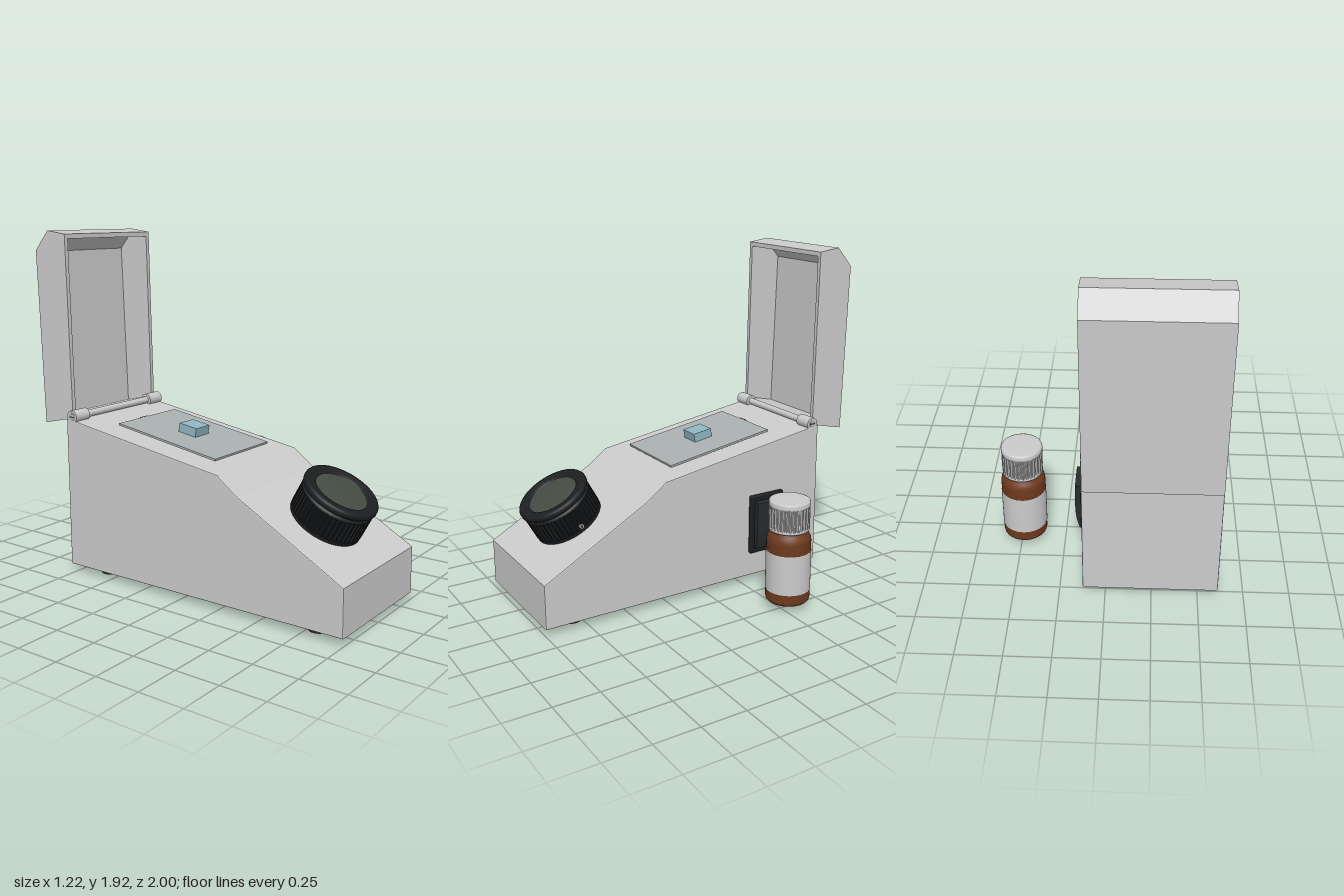
import * as THREE from 'three';
import { RoundedBoxGeometry } from 'three/addons/geometries/RoundedBoxGeometry.js';

const mat = (color, side = THREE.FrontSide) => new THREE.MeshStandardMaterial({ color, side });
const GREY = mat(0xcccccc), BLACK = mat(0x1c1e20), DARK = mat(0x2a2c2e), AMBER = mat(0x6e3a1e);
const LENS = mat(0x434b42), GLASS = mat(0xaab0b0), SAMPLE = mat(0x8fb6c2), METAL = mat(0xb0b0b0);

function add(parent, name, geo, material, x = 0, y = 0, z = 0) {
  const m = new THREE.Mesh(geo, material);
  m.name = name;
  m.position.set(x, y, z);
  parent.add(m);
  return m;
}

// Extrude a [z, y] profile along x, from x0 to x1
function sideProfile(points, x0, x1, bevel = 0) {
  const shape = new THREE.Shape(points.map(([z, y]) => new THREE.Vector2(z, y)));
  const g = new THREE.ExtrudeGeometry(shape, {
    depth: x1 - x0 - 2 * bevel, bevelEnabled: bevel > 0, bevelSize: bevel,
    bevelThickness: bevel, bevelOffset: -bevel, bevelSegments: 2,
  });
  return g.rotateY(-Math.PI / 2).translate(x1 - bevel, 0, 0);
}

// Upright ribbed cylinder standing on y = 0
function ribbed(rOut, rIn, ribs, height) {
  const pts = [];
  for (let i = 0; i < ribs * 4; i++) {
    const a = (i / (ribs * 4)) * Math.PI * 2, r = i % 4 < 2 ? rOut : rIn;
    pts.push(new THREE.Vector2(r * Math.cos(a), r * Math.sin(a)));
  }
  return new THREE.ExtrudeGeometry(new THREE.Shape(pts), { depth: height, bevelEnabled: false })
    .rotateX(-Math.PI / 2);
}

const lathe = (pts, seg = 48) =>
  new THREE.LatheGeometry(pts.map(([r, y]) => new THREE.Vector2(r, y)), seg);
const cyl = (r, h, seg = 32) => new THREE.CylinderGeometry(r, r, h, seg);

function makeCase() {
  const g = new THREE.Group();
  g.name = 'case';
  add(g, 'body', sideProfile([
    [1, 0.04], [1, 0.295], [0.383, 0.637], [0.34, 0.668], [0.26, 0.728], [-0.785, 0.893], [-0.785, 0.04],
  ], -0.61, 0.122, 0.006), GREY);
  for (const x of [-0.495, 0.005])
    for (const z of [0.8, -0.585]) add(g, 'foot', cyl(0.053, 0.05), DARK, x, 0.025, z);
  return g;
}

function makeLid() {
  const g = new THREE.Group();
  g.name = 'lid';
  const outer = [[-0.775, 1.908], [-0.905, 1.925], [-1, 1.815], [-0.968, 0.845], [-0.755, 0.893]];
  const inner = [[-0.7555, 0.918], [-0.944, 0.875], [-0.974, 1.808], [-0.897, 1.897], [-0.7745, 1.882]];
  add(g, 'lidShell', sideProfile([...outer, ...inner], -0.566, 0.081), GREY);
  add(g, 'lidSideRight', sideProfile(outer, -0.59, -0.566), GREY);
  add(g, 'lidSideLeft', sideProfile(outer, 0.081, 0.105), GREY);
  return g;
}

function makeHinge() {
  const g = new THREE.Group();
  g.name = 'hinge';
  g.position.set(-0.245, 0.905, -0.743);
  add(g, 'hingeRod', cyl(0.02, 0.6).rotateZ(Math.PI / 2), GREY);
  for (const s of [-1, 1]) {
    add(g, 'knuckle', cyl(0.036, 0.106).rotateZ(Math.PI / 2), GREY, s * 0.313);
    add(g, 'knuckleBase', new THREE.BoxGeometry(0.1, 0.03, 0.066), GREY, s * 0.313, -0.02, -0.005);
    add(g, 'hingePin', cyl(0.022, 0.004).rotateZ(Math.PI / 2), METAL, s * 0.366);
    add(g, 'pinSlot', new THREE.BoxGeometry(0.003, 0.006, 0.036), DARK, s * 0.368);
  }
  return g;
}

// Glass stage with the sample, parallel to the sloping top
function makeStage() {
  const g = new THREE.Group();
  g.name = 'stage';
  g.position.set(-0.243, 0.818, -0.175);
  g.rotation.x = 0.16;
  add(g, 'stagePlate', new THREE.BoxGeometry(0.485, 0.012, 0.673), GLASS);
  add(g, 'lightWindow', new THREE.BoxGeometry(0.12, 0.018, 0.12), DARK, 0, -0.015, 0);
  add(g, 'stageTab', new THREE.BoxGeometry(0.06, 0.008, 0.012), DARK, -0.025, 0, -0.342);
  add(g, 'sample', new THREE.BoxGeometry(0.118, 0.05, 0.118), SAMPLE, 0, 0.031, 0);
  return g;
}

// Eyepiece standing square to the front slope
function makeEyepiece() {
  const g = new THREE.Group();
  g.name = 'eyepiece';
  g.position.set(-0.245, 0.477, 0.681);
  g.rotation.x = 0.506;
  add(g, 'barrelBase', cyl(0.198, 0.02, 64), BLACK, 0, 0.01, 0);
  add(g, 'barrelGrip', ribbed(0.2, 0.191, 48, 0.135), BLACK, 0, 0.015, 0);
  add(g, 'barrelTop', lathe([[0.2, 0.145], [0.198, 0.158], [0.185, 0.163], [0.185, 0.172]], 64), BLACK);
  add(g, 'eyeCup', lathe([
    [0.18, 0.168], [0.2, 0.168], [0.206, 0.174], [0.206, 0.19], [0.2, 0.2], [0.188, 0.204],
    [0.152, 0.2], [0.14, 0.186],
  ], 64), BLACK);
  add(g, 'lens', lathe([[0.142, 0.188], [0.1, 0.193], [0.05, 0.196], [0, 0.197]]), LENS);
  add(g, 'setScrew', cyl(0.014, 0.012, 20).rotateZ(Math.PI / 2), METAL, 0.2, 0.035, 0);
  add(g, 'setScrewSocket', cyl(0.007, 0.002, 6).rotateZ(Math.PI / 2), DARK, 0.2065, 0.035, 0);
  return g;
}

function makeSwitch() {
  const g = new THREE.Group();
  g.name = 'powerSwitch';
  add(g, 'bezel', new RoundedBoxGeometry(0.03, 0.355, 0.23, 2, 0.008), BLACK, 0.129, 0.362, -0.41);
  // Rocker is extruded sideways, then its faces set along z
  const s = new THREE.Shape([
    [0.13, 0.215], [0.153, 0.215], [0.168, 0.27], [0.176, 0.335], [0.176, 0.502], [0.13, 0.506],
  ].map(([x, y]) => new THREE.Vector2(x, y)));
  const rocker = new THREE.ExtrudeGeometry(s, { depth: 0.18, bevelEnabled: false });
  add(g, 'rocker', rocker, DARK, 0, 0, -0.5);
  return g;
}

function makeBottle() {
  const g = new THREE.Group();
  g.name = 'bottle';
  g.position.set(0.483, 0.036, -0.31);
  add(g, 'bottleGlass', lathe([
    [0, 0], [0.1, 0], [0.112, 0.004], [0.121, 0.013], [0.124, 0.025], [0.124, 0.365],
    [0.121, 0.385], [0.112, 0.402], [0.1, 0.415], [0.095, 0.43], [0.095, 0.45],
  ]), AMBER);
  add(g, 'label', lathe([[0.123, 0.073], [0.126, 0.074], [0.126, 0.303], [0.123, 0.304]]), GREY);
  add(g, 'capRim', lathe([[0.09, 0.425], [0.11, 0.425], [0.113, 0.428], [0.113, 0.44], [0.108, 0.444]]), GREY);
  add(g, 'capGrip', ribbed(0.114, 0.108, 30, 0.13), GREY, 0, 0.438, 0);
  add(g, 'capTop', lathe([
    [0.114, 0.566], [0.115, 0.57], [0.115, 0.588], [0.112, 0.596], [0.104, 0.599], [0, 0.599],
  ]), GREY);
  return g;
}

export function createModel() {
  const model = new THREE.Group();
  model.name = 'viewerWithBottle';
  model.add(makeCase(), makeLid(), makeHinge(), makeStage(), makeEyepiece(), makeSwitch(), makeBottle());
  return model;
}
